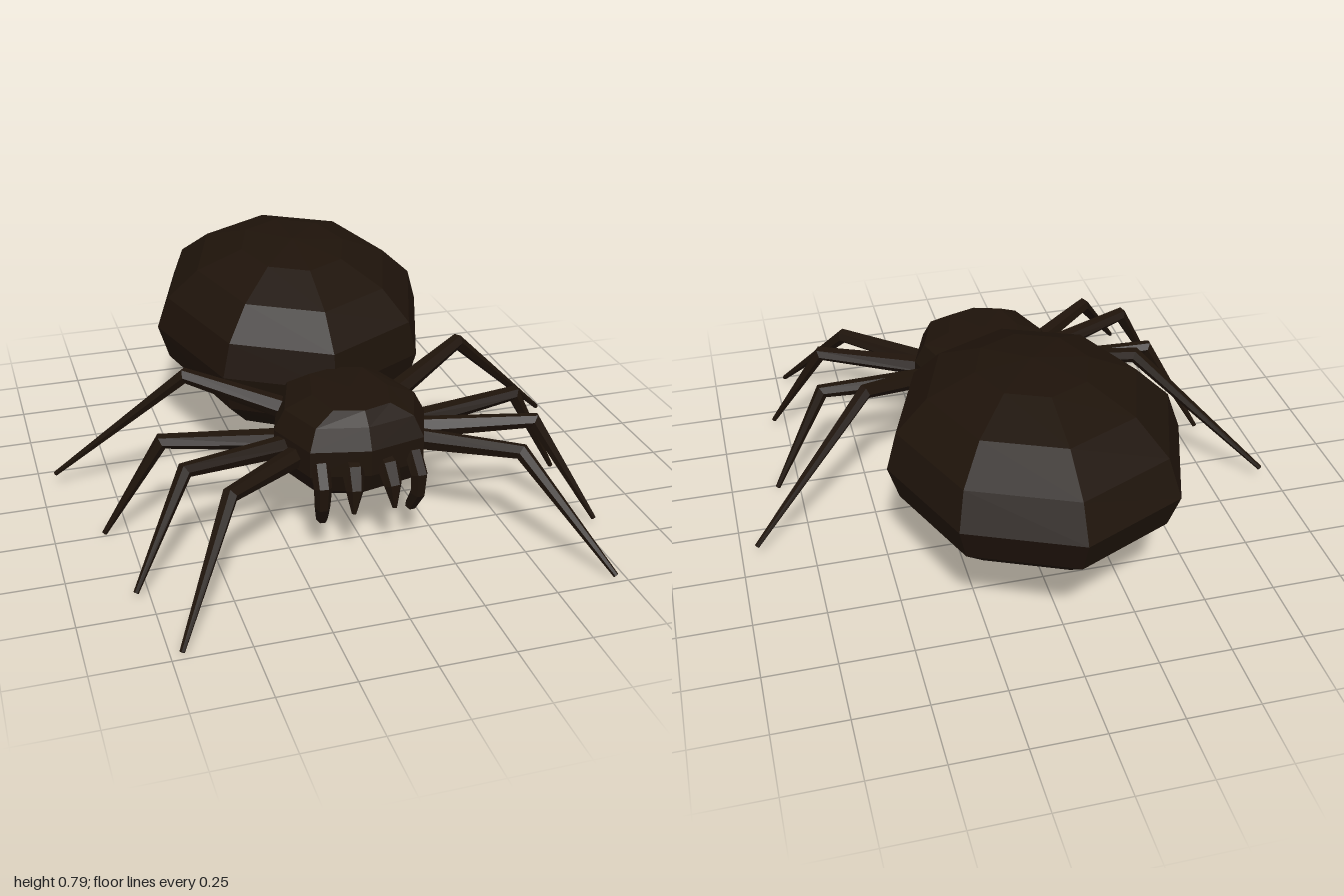
import * as THREE from 'three';

const material = new THREE.MeshStandardMaterial({ color: 0x1e130a, flatShading: true });

// Skin a stack of equal-sided rings; the two end rings are closed with a fan
function loft(rings) {
  const n = rings[0].length;
  const positions = [];
  const index = [];
  for (const ring of rings) for (const p of ring) positions.push(p.x, p.y, p.z);
  for (let i = 0; i < rings.length - 1; i++) {
    for (let j = 0; j < n; j++) {
      const k = (j + 1) % n;
      const a = i * n + j, b = i * n + k, c = b + n, d = a + n;
      index.push(a, b, c, a, c, d);
    }
  }
  const last = (rings.length - 1) * n;
  for (let j = 1; j < n - 1; j++) {
    index.push(0, j + 1, j, last, last + j, last + j + 1);
  }
  const geometry = new THREE.BufferGeometry();
  geometry.setAttribute('position', new THREE.Float32BufferAttribute(positions, 3));
  geometry.setIndex(index);
  geometry.computeVertexNormals();
  return geometry;
}

// Jointed, tapering limb through a few points
function limb(points, radii, sides = 6) {
  const pts = points.map((p) => new THREE.Vector3(...p));
  const end = pts[pts.length - 1];
  // the hinge direction is square to the plane the limb bends in
  const hinge = pts[1].clone().sub(pts[0]).cross(end.clone().sub(pts[0])).normalize();
  const rings = pts.map((p, i) => {
    const before = p.clone().sub(pts[Math.max(i - 1, 0)]).normalize();
    const after = pts[Math.min(i + 1, pts.length - 1)].clone().sub(p).normalize();
    const dir = before.add(after).normalize();
    const across = dir.clone().cross(hinge).normalize();
    return Array.from({ length: sides }, (_, j) => {
      const t = (j / sides) * Math.PI * 2;
      return p.clone()
        .addScaledVector(hinge, Math.cos(t) * radii[i])
        .addScaledVector(across, Math.sin(t) * radii[i]);
    });
  });
  return loft(rings);
}

// Abdomen: eight-sided ellipsoid, leaning back, with a fuller front underside
function abdomenGeometry() {
  const geometry = new THREE.SphereGeometry(1, 8, 8);
  const pos = geometry.attributes.position;
  for (let i = 0; i < pos.count; i++) {
    const x = pos.getX(i), y = pos.getY(i), z = pos.getZ(i);
    const sag = 0.07 * Math.max(z, 0) * Math.max(-y, 0);
    const lean = y > 0 ? 0.06 : -0.01;
    pos.setXYZ(i, x * 0.505, 0.475 + y * 0.317 - z * 0.05 - sag, -0.385 + y * lean + z * 0.605);
  }
  geometry.computeVertexNormals();
  return geometry;
}

// Head and thorax: eight-sided rings from top to bottom (height, width, length)
function thoraxGeometry() {
  const levels = [
    [0.505, 0.04, 0.05], [0.5, 0.5, 0.68], [0.46, 0.86, 0.86], [0.39, 1, 1],
    [0.3, 1, 1], [0.23, 0.86, 0.88], [0.18, 0.5, 0.58], [0.178, 0.04, 0.05],
  ];
  const outline = [
    [0.265, 0.01], [0.195, 0.2], [0, 0.245], [-0.195, 0.2],
    [-0.265, 0.01], [-0.19, -0.22], [0, -0.26], [0.19, -0.22],
  ];
  return loft(levels.map(([y, w, l]) =>
    outline.map(([x, z]) => new THREE.Vector3(x * w, y, 0.365 + z * l))));
}

export function createModel() {
  const model = new THREE.Group();
  const add = (name, geometry, parent = model) => {
    const mesh = new THREE.Mesh(geometry, material);
    mesh.name = name;
    parent.add(mesh);
  };

  add('abdomen', abdomenGeometry());
  add('thorax', thoraxGeometry());

  // Legs as hip, knee and tip, listed from front to back for the left side
  const legs = [
    [[0.15, 0.33, 0.42], [0.49, 0.355, 0.69], [0.715, 0.015, 0.98]],
    [[0.17, 0.34, 0.39], [0.6, 0.38, 0.54], [0.795, 0.03, 0.655]],
    [[0.17, 0.33, 0.35], [0.63, 0.365, 0.3], [0.83, 0.008, 0.235]],
    [[0.15, 0.39, 0.28], [0.5, 0.485, 0.075], [0.945, 0.05, -0.15]],
  ];
  const legNames = ['frontLeg', 'secondLeg', 'thirdLeg', 'backLeg'];
  const palp = [[0.15, 0.31, 0.48], [0.16, 0.33, 0.57], [0.165, 0.28, 0.61],
    [0.165, 0.21, 0.605], [0.155, 0.14, 0.565]];
  const fang = [[0.055, 0.34, 0.52], [0.06, 0.32, 0.6], [0.065, 0.27, 0.635], [0.07, 0.19, 0.645]];

  for (const [side, s] of [['left', 1], ['right', -1]]) {
    const group = new THREE.Group();
    group.name = side + 'Limbs';
    model.add(group);
    const mirror = (points) => points.map(([x, y, z]) => [x * s, y, z]);
    legs.forEach((points, i) =>
      add(legNames[i], limb(mirror(points), [0.04, 0.028, 0.009]), group));
    // Feelers and fangs at the mouth
    add('feeler', limb(mirror(palp), [0.028, 0.031, 0.03, 0.026, 0.02]), group);
    add('fang', limb(mirror(fang), [0.032, 0.038, 0.03, 0.008]), group);
  }
  return model;
}
